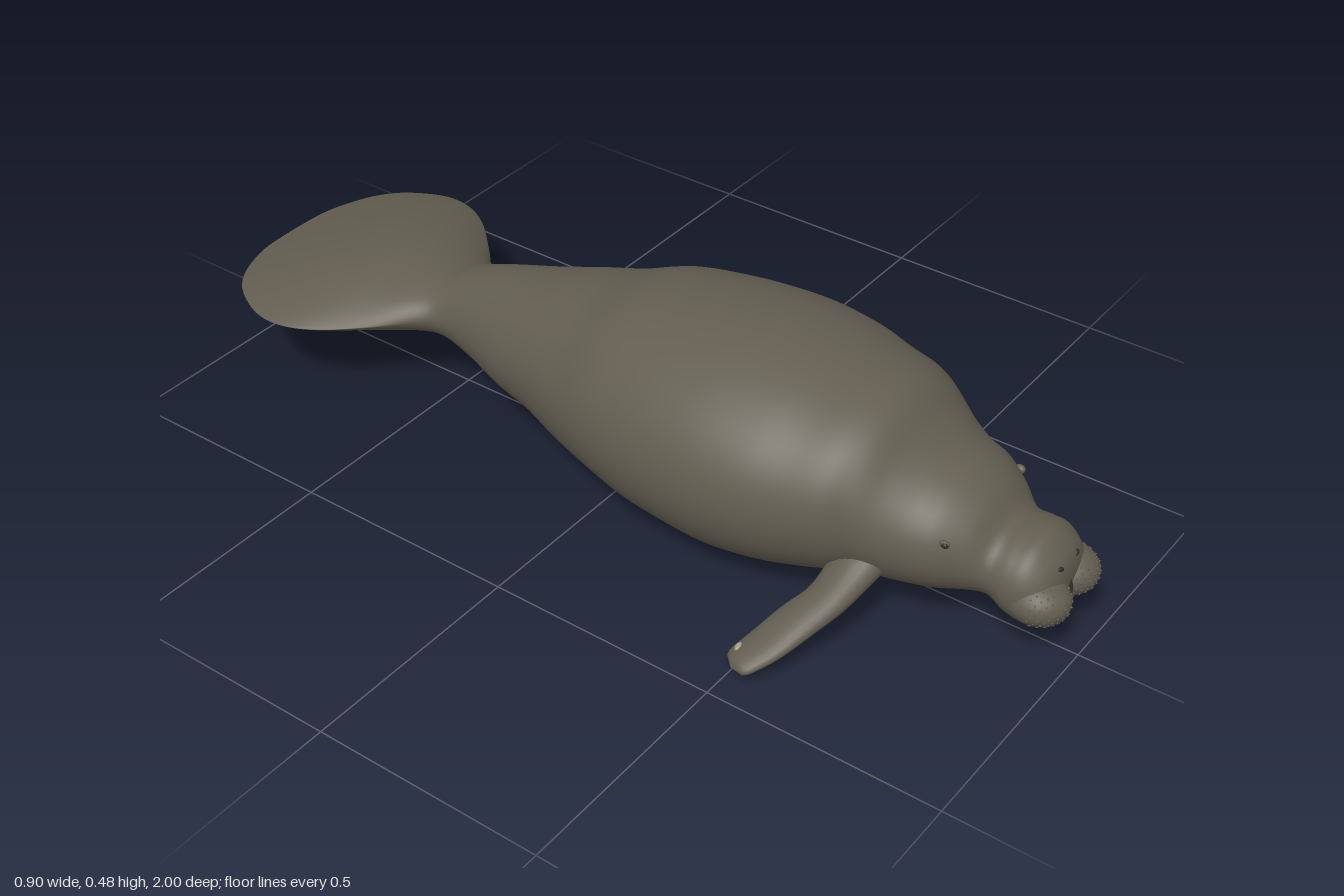
import * as THREE from 'three';
import { mergeGeometries } from 'three/addons/utils/BufferGeometryUtils.js';

const paint = (name, color) => {
  const m = new THREE.MeshStandardMaterial({ color });
  m.name = name;
  return m;
};

// Closed skin through a list of equal-length rings
function loft(rings, flip = false) {
  const n = rings[0].length, pos = [], idx = [];
  rings.forEach(r => r.forEach(p => pos.push(p.x, p.y, p.z)));
  for (let i = 0; i < rings.length - 1; i++) {
    for (let j = 0; j < n; j++) {
      const k = (j + 1) % n;
      const a = i * n + j, b = a + n, c = i * n + k, d = c + n;
      if (flip) idx.push(a, c, b, c, d, b);
      else idx.push(a, b, c, c, b, d);
    }
  }
  const g = new THREE.BufferGeometry();
  g.setAttribute('position', new THREE.Float32BufferAttribute(pos, 3));
  g.setIndex(idx);
  g.computeVertexNormals();
  return g;
}

// Smooth value of a list of numbers at t in 0..1
function along(values, t) {
  const c = new THREE.CatmullRomCurve3(values.map(v => new THREE.Vector3(v, 0, 0)), false, 'catmullrom', 0.5);
  return c.getPoint(t).x;
}

// Rings from rows of [z, half width, top, bottom]; pinch(z) sharpens the side edges
function bodyOf(rows, steps, segs, pinch) {
  const col = k => rows.map(r => r[k]);
  const [zs, ws, ts, bs] = [0, 1, 2, 3].map(col);
  const rings = [];
  for (let i = 0; i <= steps; i++) {
    const t = i / steps, z = along(zs, t), w = Math.max(along(ws, t), 0);
    const top = along(ts, t), bot = along(bs, t), p = pinch(z);
    const mid = (top + bot) / 2, h = Math.max((top - bot) / 2, 0);
    rings.push(Array.from({ length: segs }, (_, j) => {
      const a = j / segs * Math.PI * 2, s = Math.sin(a);
      return new THREE.Vector3(w * Math.cos(a), mid + h * Math.sign(s) * Math.abs(s) ** p, z);
    }));
  }
  return loft(rings);
}

const BODY = [
  [0.965, 0, 0.15, 0.15], [0.964, 0.045, 0.195, 0.10], [0.95, 0.085, 0.228, 0.08],
  [0.915, 0.108, 0.258, 0.065], [0.88, 0.112, 0.26, 0.075], [0.84, 0.108, 0.262, 0.098],
  [0.80, 0.132, 0.305, 0.095], [0.75, 0.163, 0.335, 0.083], [0.70, 0.18, 0.35, 0.073],
  [0.65, 0.20, 0.38, 0.068], [0.60, 0.222, 0.425, 0.066], [0.55, 0.25, 0.445, 0.05],
  [0.48, 0.272, 0.455, 0.03], [0.40, 0.295, 0.47, 0.014], [0.30, 0.306, 0.479, 0.003],
  [0.20, 0.302, 0.476, 0.008], [0.10, 0.288, 0.466, 0.016], [0, 0.262, 0.45, 0.033],
  [-0.10, 0.225, 0.412, 0.05], [-0.20, 0.187, 0.384, 0.074], [-0.30, 0.157, 0.352, 0.09],
  [-0.40, 0.122, 0.325, 0.115], [-0.48, 0.107, 0.297, 0.138], [-0.53, 0.13, 0.278, 0.147],
  [-0.60, 0.20, 0.273, 0.145], [-0.68, 0.272, 0.278, 0.142], [-0.75, 0.306, 0.272, 0.152],
  [-0.82, 0.305, 0.26, 0.168], [-0.90, 0.265, 0.24, 0.188], [-0.95, 0.215, 0.226, 0.198],
  [-0.985, 0.145, 0.215, 0.204], [-1, 0.08, 0.211, 0.207], [-1, 0, 0.209, 0.209],
];

export function createModel() {
  const model = new THREE.Group();
  const skin = paint('greyBrownSkin', 0x625d50);
  const dark = paint('darkSkin', 0x2f2c26);
  const pale = paint('paleNail', 0x9c9686);

  const add = (name, geo, mat, parent = model) => {
    const m = new THREE.Mesh(geo, mat);
    m.name = name;
    parent.add(m);
    return m;
  };
  const blob = (name, mat, [x, y, z], [rx, ry, rz], parent = model) => {
    const m = add(name, new THREE.SphereGeometry(1, 28, 20), mat, parent);
    m.position.set(x, y, z);
    m.scale.set(rx, ry, rz);
    return m;
  };

  // Head, trunk and paddle tail in one skin; the tail narrows to a thin rim
  add('bodyAndTail', bodyOf(BODY, 192, 64,
    z => 1 + 0.8 * THREE.MathUtils.smoothstep(-z, 0.45, 0.65)), skin);

  // Groove between the lip pads
  blob('lipGroove', dark, [0, 0.143, 0.963], [0.004, 0.03, 0.009]);

  for (const s of [1, -1]) {
    const side = new THREE.Group();
    side.name = s > 0 ? 'leftSide' : 'rightSide';
    model.add(side);

    // Lip pad with rows of bristle bumps
    const c = [0.056 * s, 0.146, 0.928], r = [0.06, 0.048, 0.066];
    blob('lipPad', skin, c, r, side);
    const bumps = [];
    for (let i = 0; i < 110; i++) {
      const f = 1 - 0.9 * (i + 0.5) / 110, q = Math.sqrt(1 - f * f), a = i * 2.39996;
      const x = c[0] + s * r[0] * q * Math.cos(a);
      if (x * s < 0.006) continue;
      const g = new THREE.SphereGeometry(0.0021, 6, 4);
      g.translate(x, c[1] + r[1] * q * Math.sin(a), c[2] + r[2] * f);
      bumps.push(g);
    }
    add('bristleBumps', mergeGeometries(bumps), skin, side);

    // Nostril and eye
    const nostril = blob('nostril', dark, [0.03 * s, 0.21, 0.955], [0.009, 0.005, 0.006], side);
    nostril.rotation.z = 0.4 * s;
    const rim = blob('eyelid', skin, [0.141 * s, 0.252, 0.772], [0.007, 0.009, 0.011], side);
    rim.rotation.z = -0.4 * s;
    blob('eye', dark, [0.145 * s, 0.253, 0.775], [0.0055, 0.006, 0.007], side);

    // Flipper: flattened rings along a drooping, swept-back path
    const path = new THREE.CatmullRomCurve3([
      [0.14, 0.17, 0.615], [0.2, 0.138, 0.608], [0.26, 0.112, 0.598],
      [0.32, 0.086, 0.572], [0.38, 0.058, 0.546], [0.443, 0.03, 0.512],
    ].map(p => new THREE.Vector3(...p)));
    const rings = [];
    for (let i = 0; i <= 40; i++) {
      const t = i / 40, p = path.getPointAt(t), tan = path.getTangentAt(t);
      const u = new THREE.Vector3(0.4, 0, 0.92);
      u.addScaledVector(tan, -u.dot(tan)).normalize();
      const v = u.clone().cross(tan);
      const end = Math.sqrt(Math.max(0, 1 - Math.max(0, (t - 0.9) / 0.1) ** 4));
      const w = along([0.06, 0.05, 0.044, 0.046, 0.043, 0.034], t) * end;
      const h = along([0.042, 0.034, 0.027, 0.023, 0.018, 0.013], t) * end;
      rings.push(Array.from({ length: 24 }, (_, j) => {
        const a = j / 24 * Math.PI * 2;
        const k = p.clone().addScaledVector(u, w * Math.cos(a)).addScaledVector(v, h * Math.sin(a));
        k.x *= s;
        return k;
      }));
    }
    add('flipper', loft(rings, s < 0), skin, side);

    // Nails on the upper side of the flipper tip
    for (let i = 0; i < 3; i++) {
      const nail = blob('nail', pale, [(0.41 + 0.006 * i) * s, 0.054 - 0.002 * i, 0.506 + 0.017 * i],
        [0.01, 0.004, 0.006], side);
      nail.rotation.z = -0.45 * s;
    }
  }
  return model;
}
